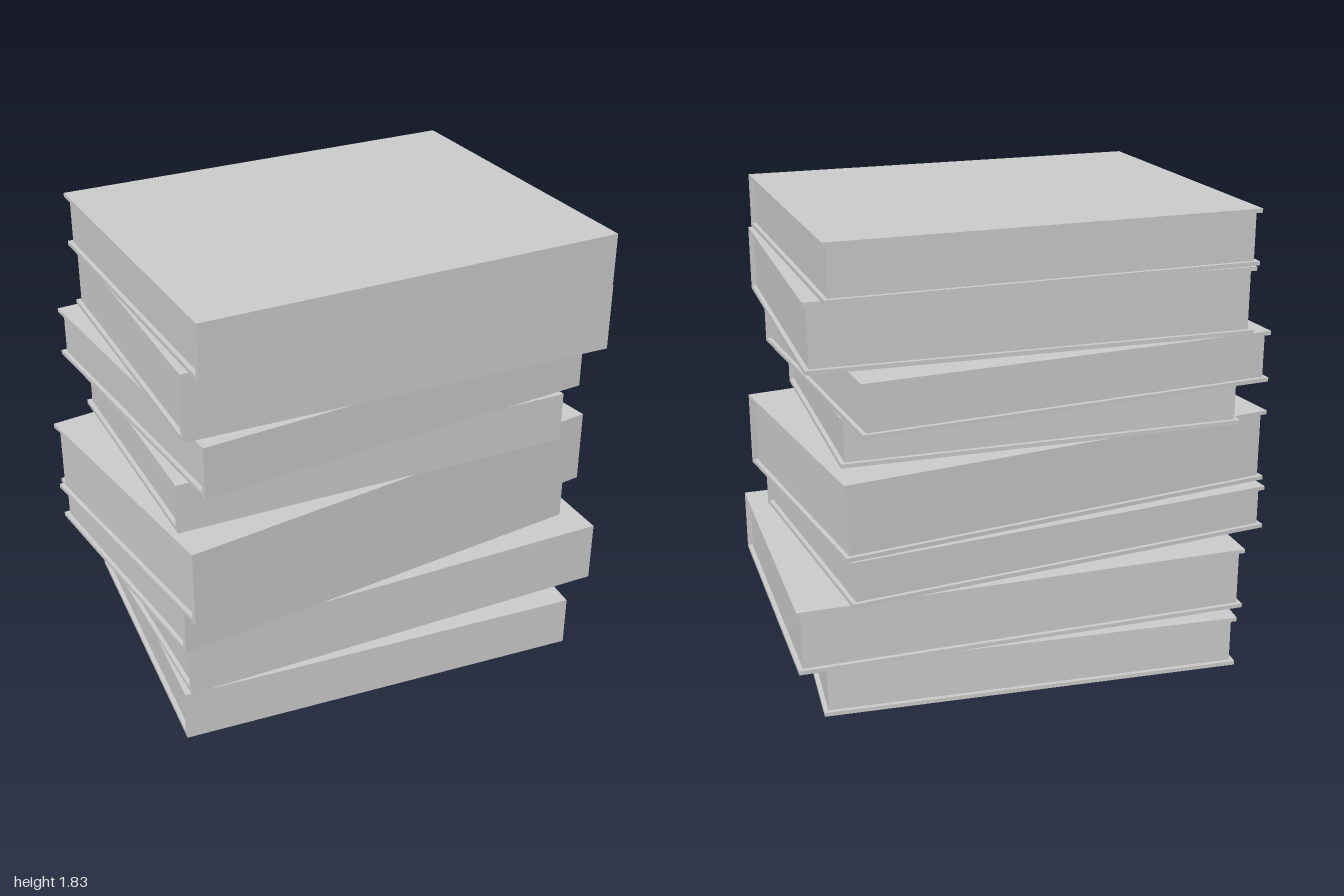
import * as THREE from 'three';

const material = new THREE.MeshStandardMaterial({ color: 0xcccccc });

const BOARD = 0.016; // cover board thickness
const SPINE = 0.022; // spine thickness
const GAP = 0.017; // hollow between spine and pages
const LIP = 0.017; // how far the covers overhang the pages

// Bottom to top: [base y, top y, width, depth, centre x, centre z, turn]
const BOOKS = [
  [0, 0.21, 1.65, 1.275, 0.02, 0, -0.1],
  [0.21, 0.465, 1.8, 1.2, 0.08, -0.012, -0.033],
  [0.465, 0.648, 1.77, 1.1, -0.042, 0.003, 0.082],
  [0.648, 0.948, 1.82, 1.122, -0.03, 0.05, 0.113],
  [0.948, 1.147, 1.6, 1.07, -0.04, 0.058, -0.04],
  [1.147, 1.35, 1.64, 1.295, -0.022, -0.005, 0.058],
  [1.35, 1.612, 1.715, 1.245, 0.035, 0.042, -0.045],
  [1.612, 1.828, 1.665, 1.317, 0.018, 0.057, -0.005],
];

// C-shaped cover (two boards and the front spine), extruded along the width
function makeCover(width, height, depth) {
  const front = -depth / 2, back = depth / 2;
  const profile = new THREE.Shape([
    [front, 0], [back, 0], [back, BOARD], [front + SPINE, BOARD],
    [front + SPINE, height - BOARD], [back, height - BOARD], [back, height], [front, height],
  ].map(([u, v]) => new THREE.Vector2(u, v)));
  const geometry = new THREE.ExtrudeGeometry(profile, { depth: width, bevelEnabled: false });
  geometry.translate(0, 0, -width / 2);
  geometry.rotateY(Math.PI / 2); // profile's u axis becomes -z, so the spine faces +z
  const cover = new THREE.Mesh(geometry, material);
  cover.name = 'cover';
  return cover;
}

// Page block, set back from the spine and from the three open edges
function makePages(width, height, depth) {
  const pageDepth = depth - SPINE - GAP - LIP;
  const geometry = new THREE.BoxGeometry(width - 2 * LIP, height - 2 * BOARD, pageDepth);
  const pages = new THREE.Mesh(geometry, material);
  pages.position.set(0, height / 2, -depth / 2 + LIP + pageDepth / 2);
  pages.name = 'pages';
  return pages;
}

export function createModel() {
  const stack = new THREE.Group();
  stack.name = 'bookStack';
  BOOKS.forEach(([base, top, width, depth, x, z, turn], i) => {
    const book = new THREE.Group();
    book.name = `book${i + 1}`;
    book.add(makeCover(width, top - base, depth), makePages(width, top - base, depth));
    book.position.set(x, base, z);
    book.rotation.y = turn;
    stack.add(book);
  });
  return stack;
}
